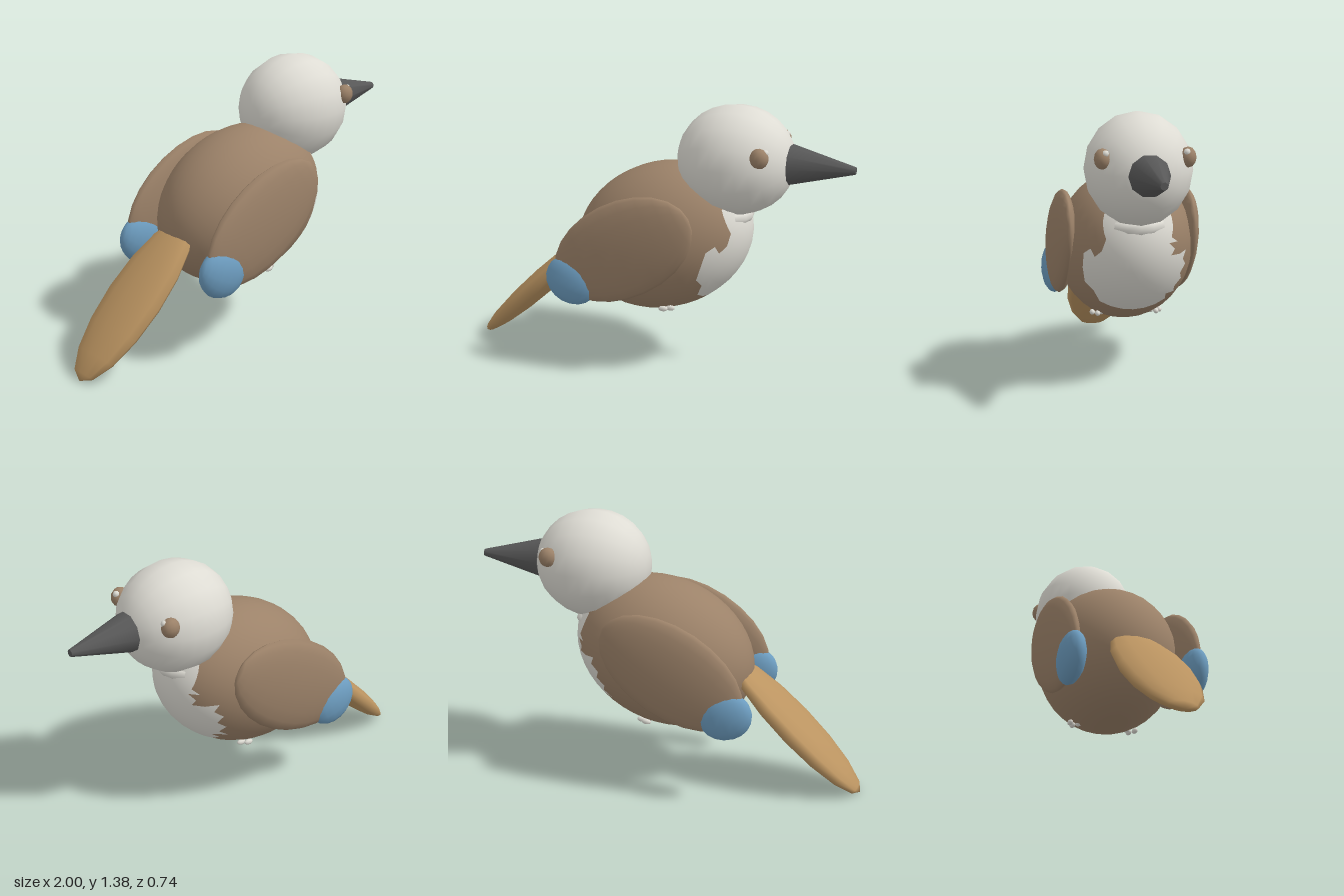
import * as THREE from 'three';

const material = (name, color) => {
  const m = new THREE.MeshStandardMaterial({ color });
  m.name = name;
  return m;
};

// Ellipsoid with its poles on the long axis, tilted up by an angle in the xy plane
function ellipsoid([x, y, z], [rx, ry, rz], tilt = 0, around = 16, along = 12) {
  return new THREE.SphereGeometry(1, around, along)
    .rotateZ(-Math.PI / 2)
    .scale(rx, ry, rz)
    .rotateZ(tilt)
    .translate(x, y, z);
}

// Reorders triangles into two material groups by a test on their centres
function splitByRule(geometry, test) {
  const g = geometry.toNonIndexed();
  const p = g.attributes.position;
  const first = [], second = [];
  for (let i = 0; i < p.count; i += 3) {
    const c = [0, 1, 2].map(k =>
      (p.getComponent(i, k) + p.getComponent(i + 1, k) + p.getComponent(i + 2, k)) / 3);
    (test(...c) ? second : first).push(i, i + 1, i + 2);
  }
  g.setIndex([...first, ...second]);
  g.addGroup(0, first.length, 0);
  g.addGroup(first.length, second.length, 1);
  return g;
}

// Bib outline on the breast
function onBreast(x, y, z) {
  if (x < 0.2) return false;
  if (y > 0.7) return y < 0.9 && Math.abs(z) < 0.17;
  return (z / 0.25) ** 2 + ((y - 0.63) / 0.235) ** 2 < 1;
}

export function createModel() {
  const bird = new THREE.Group();
  bird.name = 'bird';

  const brown = material('brown plumage', 0x9c8269);
  const white = material('white plumage', 0xdedcd4);
  const tan = material('tan tail', 0xbb9461);
  const blue = material('blue wing tip', 0x6d9dc0);
  const dark = material('dark beak', 0x585858);

  const add = (name, geometry, mat) => {
    const mesh = new THREE.Mesh(geometry, mat);
    mesh.name = name;
    bird.add(mesh);
    return mesh;
  };

  // Body with pale breast
  const body = ellipsoid([0.03, 0.68, 0], [0.474, 0.373, 0.34], 0.4, 36, 24);
  add('body', splitByRule(body, onBreast), [brown, white]);

  // Collar and head
  add('collar', new THREE.TorusGeometry(0.135, 0.037, 8, 16)
    .rotateX(Math.PI / 2).rotateZ(-0.1).translate(0.325, 0.845, 0), white);
  add('head', ellipsoid([0.405, 1.113, 0], [0.295, 0.275, 0.26], 0, 16, 14), white);

  // Blunt tapered beak
  add('beak', new THREE.CylinderGeometry(0.018, 0.1, 0.32, 10)
    .rotateZ(-Math.PI / 2).translate(0.84, 1.115, 0), dark);

  // Tail slanting down behind
  add('tail', ellipsoid([-0.655, 0.338, 0], [0.477, 0.066, 0.188], 0.765, 12, 8), tan);

  // Paired parts
  for (const side of [1, -1]) {
    const label = side > 0 ? 'left' : 'right';
    add(label + 'Wing',
      ellipsoid([-0.08, 0.68, side * 0.31], [0.4, 0.242, 0.062], 0.53, 18, 12), brown);
    add(label + 'WingTip',
      ellipsoid([-0.355, 0.487, side * 0.31], [0.14, 0.128, 0.064], -0.4, 14, 10), blue);
    add(label + 'Eye',
      ellipsoid([0.578, 1.186, side * 0.202], [0.046, 0.05, 0.04], 0, 12, 8), brown);
    add(label + 'EyeGlint',
      ellipsoid([0.605, 1.213, side * 0.192], [0.017, 0.017, 0.017], 0, 8, 6), white);

    // Three tiny toes per foot
    for (const [dx, dz] of [[-0.015, -0.022], [0.015, 0], [-0.015, 0.022]]) {
      add(label + 'Toe',
        ellipsoid([0.1 + dx, 0.343, side * (0.15 + dz)], [0.025, 0.015, 0.014], 0.1, 8, 6), white);
    }
  }
  return bird;
}
